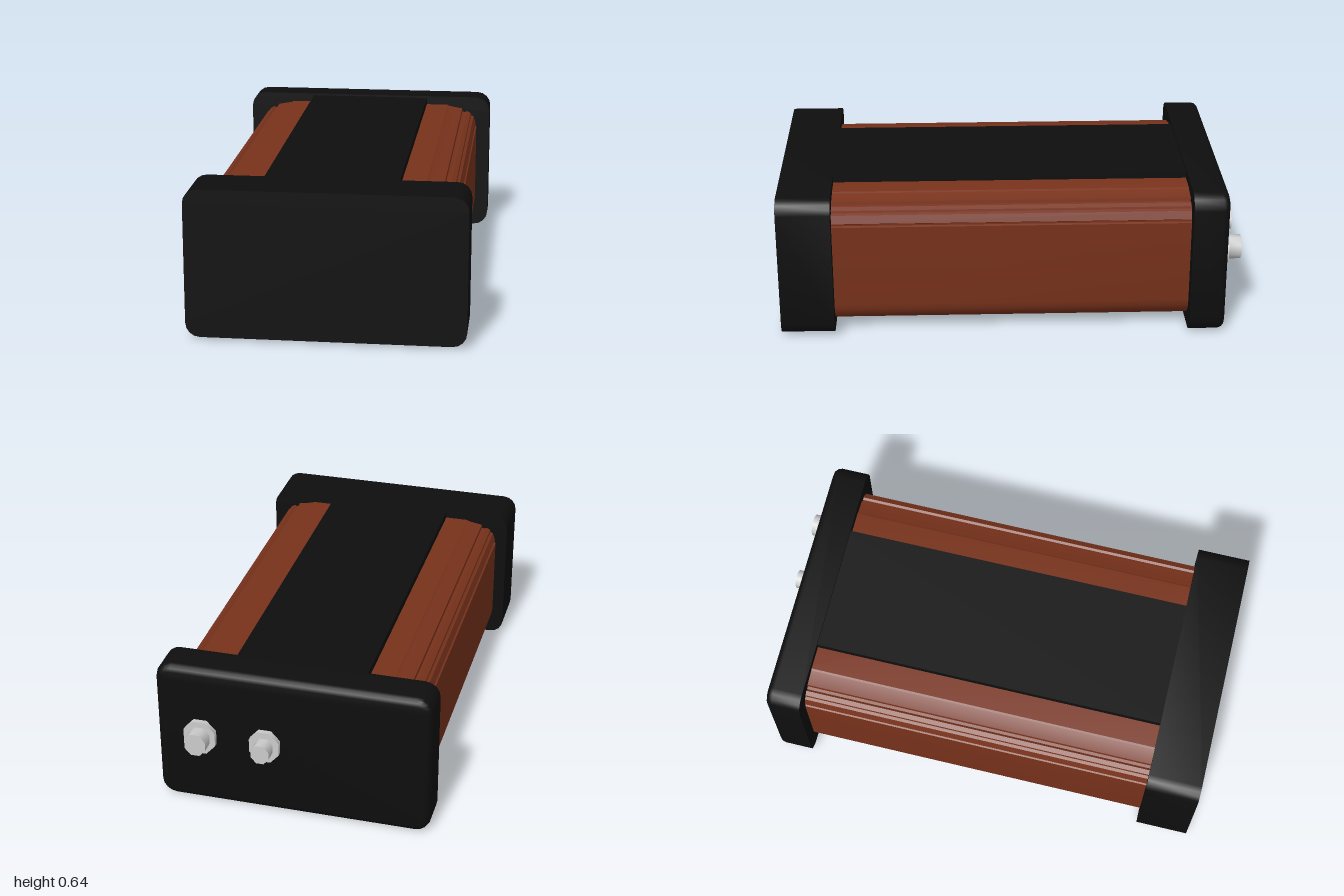
import * as THREE from 'three';
import { toCreasedNormals } from 'three/addons/utils/BufferGeometryUtils.js';

const black = new THREE.MeshStandardMaterial({ color: 0x0e0e0e });
const copper = new THREE.MeshStandardMaterial({ color: 0x78321b });
const metal = new THREE.MeshStandardMaterial({ color: 0xcccccc });

// Rounded rectangle outline, counter-clockwise, centred on height cy
function outline(hw, hh, r, cy, steps = 4) {
  const pts = [];
  [[1, 1], [-1, 1], [-1, -1], [1, -1]].forEach(([sx, sy], q) => {
    for (let i = 0; i <= steps; i++) {
      const a = (q + i / steps) * Math.PI / 2;
      pts.push([sx * (hw - r) + r * Math.cos(a), cy + sy * (hh - r) + r * Math.sin(a)]);
    }
  });
  return pts;
}

// Closed block lofted through rounded rectangles; sections are [z, inset] with rising z
function loft(hw, hh, r, cy, sections) {
  const pos = [], idx = [];
  const rings = sections.map(([z, inset]) =>
    outline(hw - inset, hh - inset, r - inset, cy).map(([x, y]) => [x, y, z]));
  const n = rings[0].length;
  rings.forEach(ring => ring.forEach(p => pos.push(...p)));
  for (let k = 0; k < rings.length - 1; k++) {
    for (let j = 0; j < n; j++) {
      const a = k * n + j, b = k * n + (j + 1) % n;
      idx.push(a, b, b + n, a, b + n, a + n);
    }
  }
  const last = (rings.length - 1) * n;
  for (let j = 1; j < n - 1; j++) {
    idx.push(0, j + 1, j, last, last + j, last + j + 1);
  }
  const geo = new THREE.BufferGeometry();
  geo.setAttribute('position', new THREE.Float32BufferAttribute(pos, 3));
  geo.setIndex(idx);
  return toCreasedNormals(geo, 0.6);
}

export function createModel() {
  const group = new THREE.Group();
  const add = (name, geo, mat, parent = group) => {
    const mesh = new THREE.Mesh(geo, mat);
    mesh.name = name;
    parent.add(mesh);
    return mesh;
  };

  // Copper body: ridged upper shoulders, smooth rounded lower edges
  const half = [];
  for (let i = 0; i <= 6; i++) {
    const a = (i / 6) * Math.PI / 2;
    half.push([0.415 + 0.11 * Math.sin(a), 0.135 - 0.1 * Math.cos(a)]);
  }
  half.push([0.525, 0.5], [0.516, 0.504], [0.516, 0.512], [0.522, 0.516], [0.51, 0.55],
    [0.498, 0.556], [0.496, 0.566], [0.478, 0.576], [0.468, 0.57], [0.456, 0.574],
    [0.454, 0.588], [0.39, 0.6], [0.382, 0.605]);
  const profile = [...half, ...half.map(([x, y]) => [-x, y]).reverse()];
  const bodyGeo = new THREE.ExtrudeGeometry(
    new THREE.Shape(profile.map(([x, y]) => new THREE.Vector2(x, y))),
    { depth: 1.6, bevelEnabled: false });
  bodyGeo.translate(0, 0, -0.8);
  add('body', toCreasedNormals(bodyGeo, 0.4), copper);

  // Raised top band and near-flush bottom band
  const top = add('topBand', new THREE.BoxGeometry(0.56, 0.045, 1.6), black);
  top.position.y = 0.6135;
  const bottom = add('bottomBand', new THREE.BoxGeometry(0.56, 0.02, 1.6), black);
  bottom.position.y = 0.042;

  // End caps: square-edged at the front, softened at the back
  add('frontCap', loft(0.577, 0.314, 0.06, 0.325, [[0.77, 0], [1, 0]]), black);
  add('backCap', loft(0.587, 0.3225, 0.065, 0.3225,
    [[-0.92, 0.03], [-0.916, 0.015], [-0.905, 0.004], [-0.89, 0], [-0.765, 0]]), black);

  // Terminals on the back cap: a flange and a pin, taller than wide
  [['largeTerminal', 0.396, 0.068, 0.045], ['smallTerminal', 0.115, 0.064, 0.038]]
    .forEach(([name, x, flangeR, pinR]) => {
      const terminal = new THREE.Group();
      terminal.name = name;
      terminal.position.set(x, 0.326, 0);
      const stub = (part, r, z0, z1) => {
        const geo = new THREE.CylinderGeometry(r, r, z1 - z0, 8);
        geo.rotateY(Math.PI / 8).rotateX(Math.PI / 2);
        geo.scale(1 / Math.cos(Math.PI / 8), 1.2, 1).translate(0, 0, (z0 + z1) / 2);
        add(part, toCreasedNormals(geo, 0.9), metal, terminal);
      };
      stub('flange', flangeR, -0.942, -0.91);
      stub('pin', pinR, -1, -0.93);
      group.add(terminal);
    });

  return group;
}
